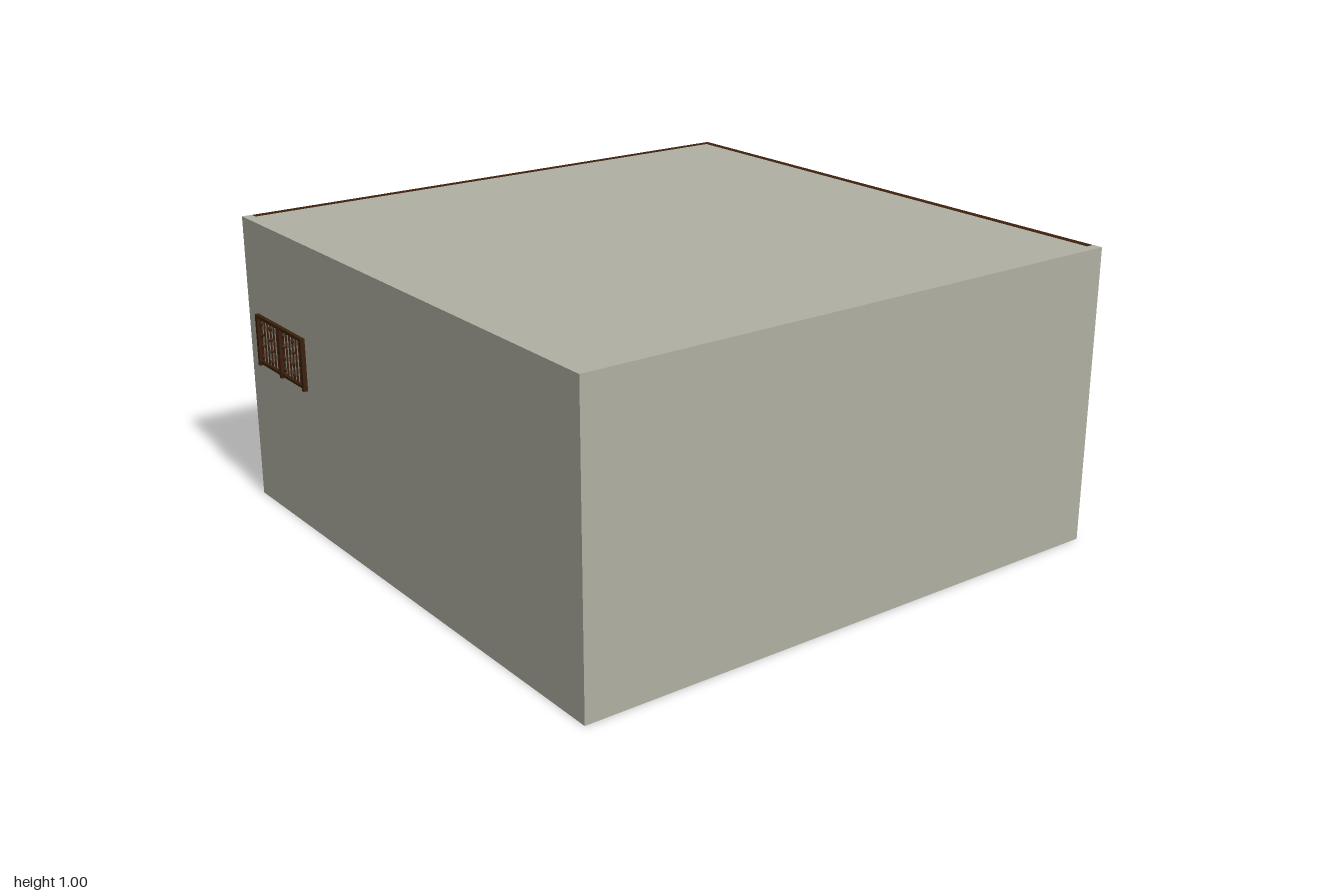
import * as THREE from 'three';

const concrete = new THREE.MeshStandardMaterial({ color: 0xb0b0a3 });
concrete.name = 'concrete grey';
const brown = new THREE.MeshStandardMaterial({ color: 0x3d200d });
brown.name = 'dark brown';

// Box given by its low and high limits on each axis
function box(parent, name, material, [x0, x1], [y0, y1], [z0, z1]) {
  const mesh = new THREE.Mesh(new THREE.BoxGeometry(x1 - x0, y1 - y0, z1 - z0), material);
  mesh.position.set((x0 + x1) / 2, (y0 + y1) / 2, (z0 + z1) / 2);
  mesh.name = name;
  parent.add(mesh);
  return mesh;
}

const W = 0.99, BACK = -1, FRONT = 0.985, T = 0.035, G = 0.03, PROUD = 0.002;

// Thin frame of posts and rails lying on a wall from 0 to length, facing -z
function windowFrame(name, length) {
  const frame = new THREE.Group();
  frame.name = name;
  const depth = [0, PROUD + 0.004];
  const bar = 0.042;
  for (let i = 0; i <= 3; i++) {
    const start = i * (length - bar) / 3;
    box(frame, 'framePost', concrete, [start, start + bar], [0, 0.999], depth);
  }
  for (let i = 0; i < 3; i++) {
    const start = i * (length - bar) / 3 + bar;
    const end = (i + 1) * (length - bar) / 3;
    box(frame, 'middleRail', concrete, [start, end], [0.468, 0.504], depth);
    box(frame, 'topRail', concrete, [start, end], [0.962, 0.999], depth);
  }
  return frame;
}

function railing() {
  const group = new THREE.Group();
  group.name = 'balconyRailing';
  const xs = [-0.908, -0.745, -0.582], z = 0.9925;
  for (const x of xs) {
    box(group, 'railingPost', brown, [x - 0.007, x + 0.007], [0.5, 0.68], [FRONT, 1]);
  }
  box(group, 'handrail', brown, [xs[0], xs[2]], [0.669, 0.68], [FRONT + 0.001, 0.999]);
  box(group, 'lowerRail', brown, [xs[0], xs[2]], [0.508, 0.518], [FRONT + 0.002, 0.998]);

  // Plain and beaded balusters in both bays
  const rod = new THREE.CylinderGeometry(0.0032, 0.0032, 0.153, 8);
  const bead = new THREE.SphereGeometry(0.0062, 8, 6);
  for (let bay = 0; bay < 2; bay++) {
    for (let i = 0; i < 6; i++) {
      const x = xs[bay] + (i + 1) * (xs[bay + 1] - xs[bay]) / 7;
      const baluster = new THREE.Mesh(rod, brown);
      baluster.name = 'baluster';
      baluster.position.set(x, 0.5935, z);
      group.add(baluster);
      if (i % 3) continue;
      for (const y of [0.535, 0.574, 0.613, 0.652]) {
        const m = new THREE.Mesh(bead, brown);
        m.name = 'balusterBead';
        m.position.set(x, y, z);
        m.scale.y = 1.5;
        group.add(m);
      }
    }
  }
  return group;
}

export function createModel() {
  const model = new THREE.Group();
  model.name = 'openRoomBlock';

  // Plain concrete shell, open underneath
  box(model, 'frontWall', concrete, [-W, W], [0, 1], [FRONT - T, FRONT]);
  box(model, 'leftWall', concrete, [W - T, W], [0, 1], [BACK, FRONT - T]);
  box(model, 'roof', concrete, [-W + G, W - T], [1 - T, 1], [BACK + G, FRONT - T]);

  // Dark slabs closing the two window sides
  box(model, 'backWindowSlab', brown, [-W + PROUD, W - T], [0, 1], [BACK + PROUD, BACK + G]);
  box(model, 'rightWindowSlab', brown, [-W + PROUD, -W + G], [0, 1], [BACK + G, FRONT - T]);

  // Window frames, slightly proud of the slabs
  const backFrame = windowFrame('backWindowFrame', 2 * W);
  backFrame.position.set(-W, 0, BACK);
  const rightFrame = windowFrame('rightWindowFrame', FRONT - BACK);
  rightFrame.rotation.y = Math.PI / 2;
  rightFrame.position.set(-W, 0, FRONT);
  model.add(backFrame, rightFrame, railing());
  return model;
}
